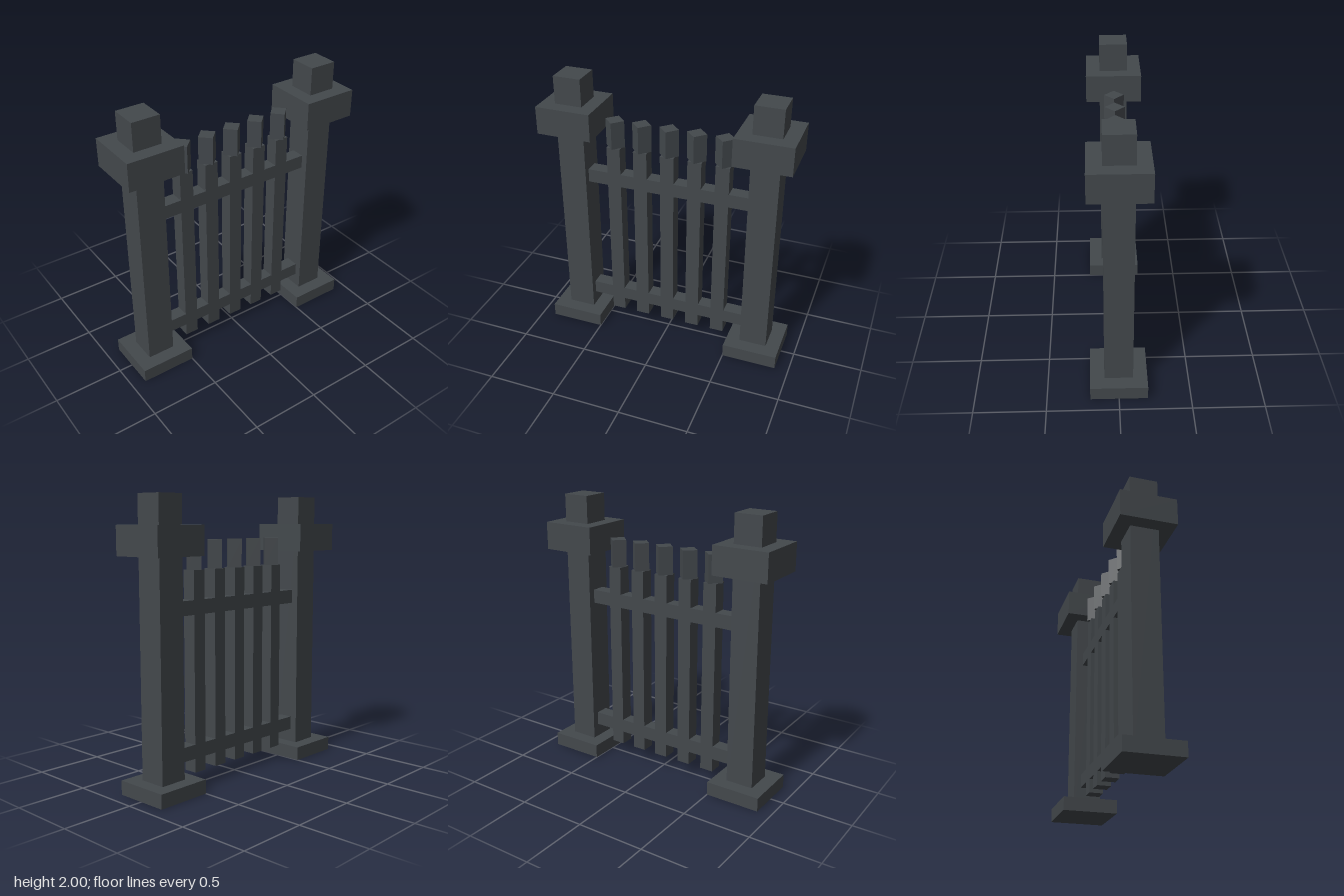
import * as THREE from 'three';

export function createModel() {
  const gate = new THREE.Group();
  gate.name = 'fence';
  const iron = new THREE.MeshStandardMaterial({ color: 0x43484c });
  iron.name = 'dark iron';

  // Box spanning y0..y1, centred on x and z = 0
  function block(parent, name, x, y0, y1, width, depth) {
    const mesh = new THREE.Mesh(new THREE.BoxGeometry(width, y1 - y0, depth), iron);
    mesh.name = name;
    mesh.position.set(x, (y0 + y1) / 2, 0);
    parent.add(mesh);
    return mesh;
  }

  // Posts with a foot and a heavy cap
  for (const side of [-1, 1]) {
    const post = new THREE.Group();
    post.name = side > 0 ? 'leftPost' : 'rightPost';
    post.position.x = side * 0.7;
    block(post, 'postShaft', 0, 0, 2, 0.2, 0.2);
    block(post, 'postFoot', 0, 0, 0.1, 0.4, 0.4);
    block(post, 'postCap', 0, 1.6, 1.8, 0.4, 0.4);
    gate.add(post);
  }

  // Horizontal rails between the posts
  block(gate, 'lowerRail', 0, 0.2, 0.3, 1.2, 0.1);
  block(gate, 'upperRail', 0, 1.2, 1.3, 1.2, 0.1);

  // Pickets, each topped by a block turned 45 degrees
  for (let i = -2; i <= 2; i++) {
    const picket = new THREE.Group();
    picket.name = 'picket';
    picket.position.x = i * 0.2;
    block(picket, 'picketBar', 0, 0.1, 1.5, 0.1, 0.1);
    block(picket, 'picketFinial', 0, 1.5, 1.7, 0.1, 0.1).rotation.y = Math.PI / 4;
    gate.add(picket);
  }

  return gate;
}
